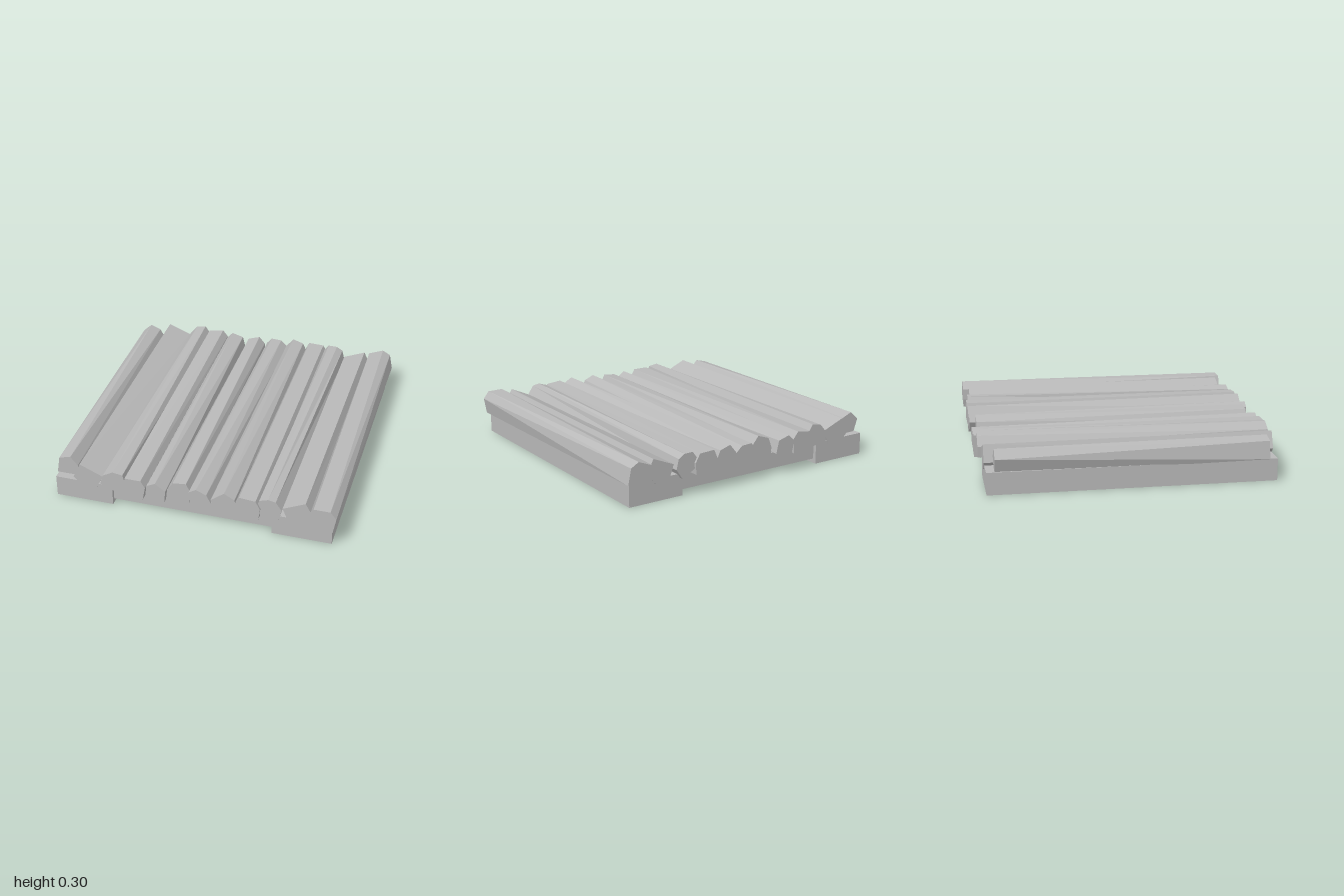
import * as THREE from 'three';

const stone = new THREE.MeshStandardMaterial({ color: 0xb8b8b8, flatShading: true });
stone.name = 'plain grey';

// Rough plank: front outline [x, y, x, y, ...] lofted to a back outline turned by `twist`.
function plankGeometry(outline, halfLength, twist, shift) {
  let front = [];
  for (let i = 0; i < outline.length; i += 2) front.push(new THREE.Vector2(outline[i], outline[i + 1]));
  if (THREE.ShapeUtils.area(front) < 0) front.reverse();
  const box = new THREE.Box2().setFromPoints(front);
  const centre = box.getCenter(new THREE.Vector2());
  const back = front.map((p) => {
    const q = p.clone().rotateAround(centre, twist);
    q.x += shift;
    return q;
  });
  const pos = [];
  const put = (p, z) => pos.push(p.x, p.y, z);
  const n = front.length;
  const h = halfLength;
  for (let i = 0; i < n; i++) {
    const j = (i + 1) % n;
    // long side
    put(front[i], h); put(back[i], -h); put(front[j], h);
    put(front[j], h); put(back[i], -h); put(back[j], -h);
    // end caps
    if (i > 0 && i < n - 1) {
      put(front[0], h); put(front[i], h); put(front[j], h);
      put(back[0], -h); put(back[j], -h); put(back[i], -h);
    }
  }
  const g = new THREE.BufferGeometry();
  g.setAttribute('position', new THREE.Float32BufferAttribute(pos, 3));
  g.computeVertexNormals();
  return g;
}

export function createModel() {
  const group = new THREE.Group();
  group.name = 'plankDeck';

  const add = (name, geometry, x = 0, y = 0, z = 0) => {
    const mesh = new THREE.Mesh(geometry, stone);
    mesh.name = name;
    mesh.position.set(x, y, z);
    group.add(mesh);
  };

  // Side rails and cross beams
  for (const s of [-1, 1]) {
    add(s > 0 ? 'leftRail' : 'rightRail', new THREE.BoxGeometry(0.4, 0.15, 1.91), s * 0.75, 0.075, 0);
    add(s > 0 ? 'frontBeam' : 'backBeam', new THREE.BoxGeometry(1.12, 0.11, 0.44), 0, 0.085, s * 0.71);
  }

  // Deck planks, from the right side to the left
  let count = 0;
  const plank = (outline, halfLength, twist, shift = 0) =>
    add('plank' + ++count, plankGeometry(outline, halfLength, twist, shift));

  plank([-0.96, 0.15, -0.94, 0.27, -0.86, 0.29, -0.81, 0.23, -0.81, 0.15], 0.9, 0.5, -0.01);
  plank([-0.77, 0.29, -0.61, 0.22, -0.66, 0.12, -0.76, 0.12, -0.82, 0.18], 0.96, 0.04);
  plank([-0.62, 0.18, -0.6, 0.25, -0.53, 0.29, -0.46, 0.28, -0.44, 0.2, -0.48, 0.12], 0.985, 0.35);
  plank([-0.46, 0.12, -0.44, 0.27, -0.33, 0.27, -0.3, 0.22, -0.32, 0.12], 1, 0.15, -0.01);
  plank([-0.3, 0.15, -0.29, 0.24, -0.23, 0.27, -0.16, 0.22, -0.17, 0.13], 1, 0.35, -0.02);
  plank([-0.17, 0.13, -0.16, 0.21, -0.12, 0.27, -0.03, 0.28, 0, 0.22, -0.01, 0.13], 0.96, 0.22);
  plank([0.01, 0.17, 0, 0.25, 0.05, 0.28, 0.12, 0.25, 0.15, 0.19, 0.13, 0.15], 1, 0.35, 0.01);
  plank([0.17, 0.12, 0.15, 0.22, 0.24, 0.29, 0.31, 0.25, 0.33, 0.15], 1, 0.22, -0.01);
  plank([0.31, 0.14, 0.3, 0.2, 0.34, 0.28, 0.45, 0.27, 0.48, 0.21, 0.47, 0.13], 1, 0.05);
  plank([0.47, 0.16, 0.45, 0.2, 0.47, 0.27, 0.53, 0.29, 0.58, 0.28, 0.62, 0.22, 0.6, 0.14], 0.985, -0.35);
  plank([0.62, 0.22, 0.77, 0.29, 0.82, 0.2, 0.76, 0.12, 0.66, 0.12], 0.96, -0.04);
  plank([0.79, 0.16, 0.8, 0.22, 0.83, 0.29, 0.94, 0.29, 0.98, 0.24, 0.96, 0.13], 1, 0.38);

  return group;
}
